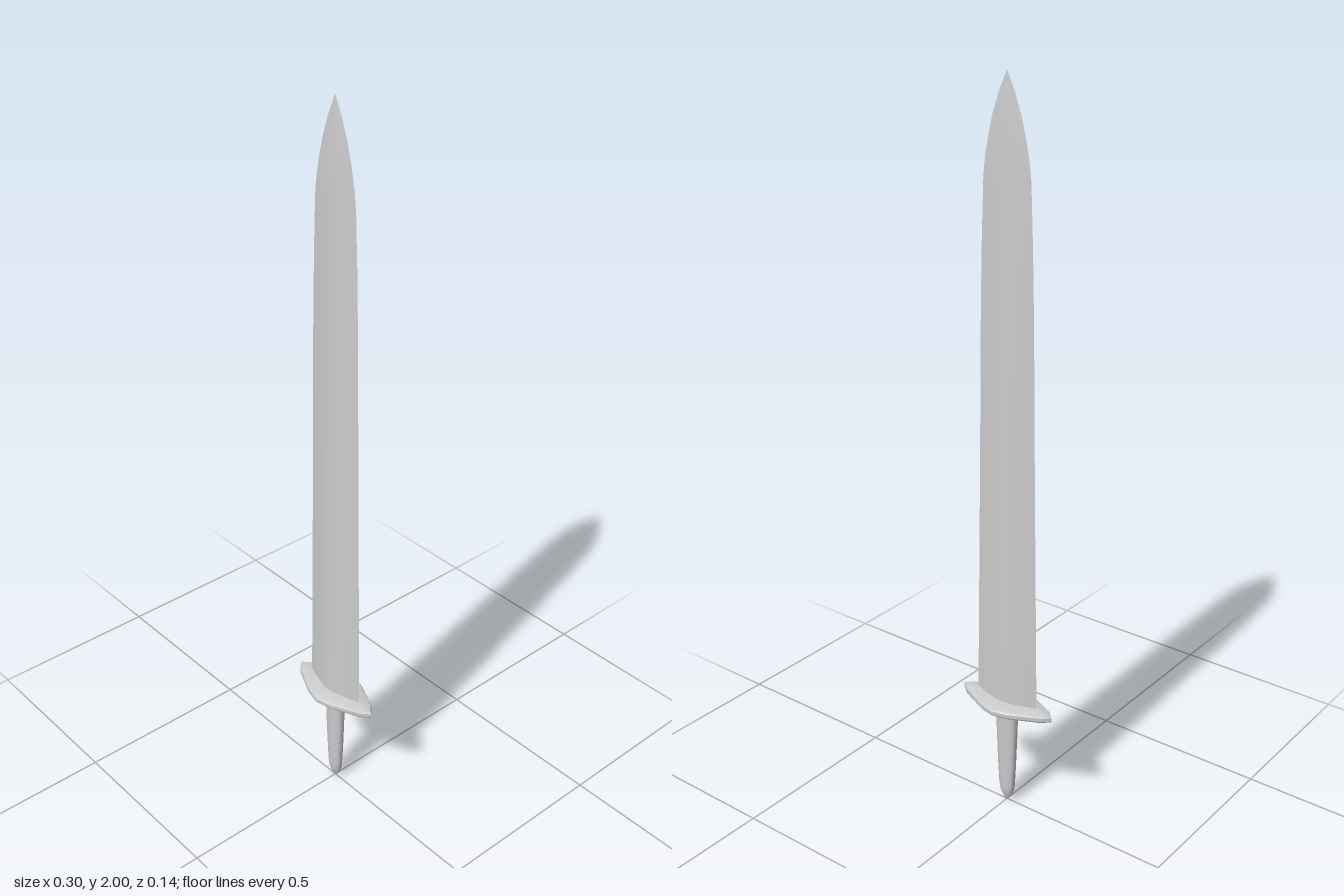
import * as THREE from 'three';
import { toCreasedNormals } from 'three/addons/utils/BufferGeometryUtils.js';

const material = new THREE.MeshStandardMaterial({ color: 0xcccccc });

// Mirror a quarter outline, from (1, 0) to (0, 1), into a closed loop of [x, z]
function mirrorQuarter(quarter) {
  const back = quarter.slice(1).reverse();
  return [
    ...quarter,
    ...back.slice(1).map(([x, z]) => [-x, z]),
    [-1, 0],
    ...quarter.slice(1).map(([x, z]) => [-x, -z]),
    ...back.slice(1).map(([x, z]) => [x, -z]),
  ];
}

// Stack scaled copies of an outline; each ring is [y, halfWidth, halfDepth]
function loft(name, outline, rings, crease) {
  const n = outline.length, last = rings.length - 1;
  const positions = [], index = [];
  for (const [y, w, d] of rings) {
    for (const [x, z] of outline) positions.push(x * w, y, z * d);
  }
  for (let r = 0; r < last; r++) {
    for (let i = 0; i < n; i++) {
      const a = r * n + i, b = r * n + (i + 1) % n;
      index.push(a, a + n, b, b, a + n, b + n);
    }
  }
  // End caps
  const bottom = n * rings.length, top = bottom + 1;
  positions.push(0, rings[0][0], 0, 0, rings[last][0], 0);
  for (let i = 0; i < n; i++) {
    const j = (i + 1) % n;
    index.push(bottom, i, j, top, last * n + j, last * n + i);
  }
  const geometry = new THREE.BufferGeometry();
  geometry.setAttribute('position', new THREE.Float32BufferAttribute(positions, 3));
  geometry.setIndex(index);
  const mesh = new THREE.Mesh(toCreasedNormals(geometry, crease), material);
  mesh.name = name;
  return mesh;
}

export function createModel() {
  const group = new THREE.Group();
  group.name = 'sword';

  // Blade: double-edged lens section with a central ridge, narrowing to a point
  const lens = mirrorQuarter([[1, 0], [0.75, 0.36], [0.45, 0.7], [0.2, 0.91], [0, 1]]);
  group.add(loft('blade', lens, [
    [0.32, 0.1, 0.028], [0.6, 0.095, 0.025], [1, 0.088, 0.021], [1.4, 0.082, 0.016],
    [1.6, 0.077, 0.0135], [1.75, 0.071, 0.011], [1.8, 0.065, 0.01], [1.85, 0.055, 0.0085],
    [1.9, 0.042, 0.0065], [1.95, 0.024, 0.004], [2, 0.0005, 0.0003],
  ], 0.25));

  // Guard: thin pointed plate with bevelled faces
  const plate = mirrorQuarter([[1, 0], [0.84, 0.3], [0.3, 0.85], [0, 1]]);
  group.add(loft('guard', plate, [
    [0.301, 0.06, 0.035], [0.309, 0.147, 0.068], [0.313, 0.15, 0.071],
    [0.323, 0.15, 0.071], [0.327, 0.147, 0.068], [0.334, 0.1, 0.04],
  ], 0.4));

  // Grip: oval section, tapering to a rounded end
  const oval = [];
  for (let i = 0; i < 16; i++) {
    const a = i * Math.PI / 8;
    oval.push([Math.cos(a), Math.sin(a)]);
  }
  group.add(loft('grip', oval, [
    [0, 0.002, 0.001], [0.012, 0.012, 0.007], [0.03, 0.021, 0.012], [0.05, 0.025, 0.014],
    [0.12, 0.029, 0.016], [0.2, 0.032, 0.018], [0.31, 0.036, 0.02],
  ], 0.7));

  return group;
}
